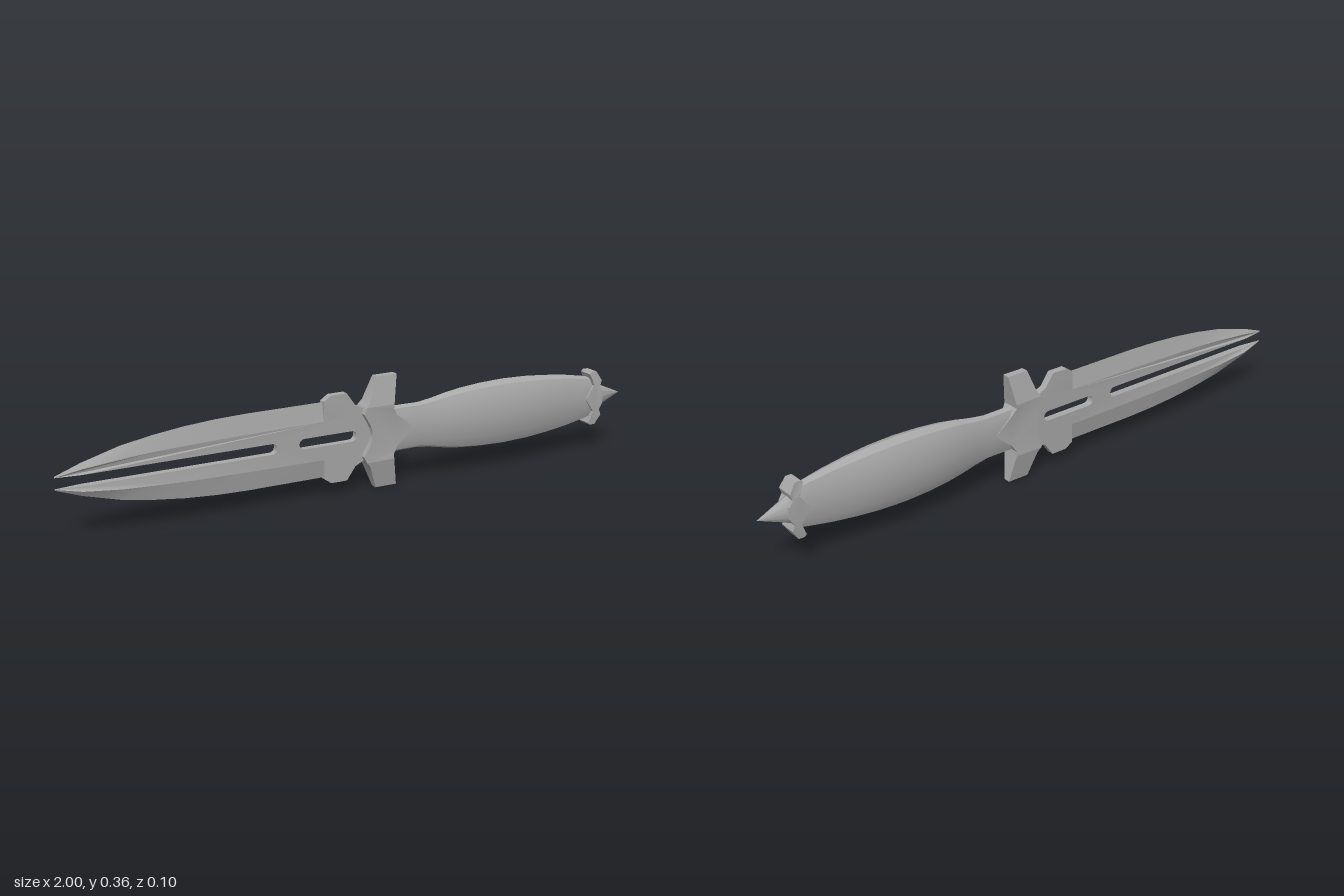
import * as THREE from 'three';
import { toCreasedNormals } from 'three/addons/utils/BufferGeometryUtils.js';

// Skin closed rings of [x, y, z] points (counter-clockwise seen from +x), capped at both ends
function loft(rings, crease = 0.5) {
  const n = rings[0].length, last = (rings.length - 1) * n, index = [];
  for (let i = 0; i < rings.length - 1; i++) {
    for (let j = 0; j < n; j++) {
      const a = i * n + j, b = i * n + (j + 1) % n;
      index.push(a, b, a + n, b, b + n, a + n);
    }
  }
  for (let j = 1; j < n - 1; j++) index.push(0, j + 1, j, last, last + j, last + j + 1);
  const geo = new THREE.BufferGeometry();
  geo.setAttribute('position', new THREE.Float32BufferAttribute(rings.flat(2), 3));
  geo.setIndex(index);
  return toCreasedNormals(geo, crease);
}

// Extrude an outline about z = 0; halfZ(x, y) gives the half thickness
function plate(points, halfZ, hole) {
  const shape = new THREE.Shape(points.map(p => new THREE.Vector2(...p)));
  if (hole) shape.holes.push(new THREE.Path(hole.map(p => new THREE.Vector2(...p))));
  const geo = new THREE.ExtrudeGeometry(shape, { depth: 1, bevelEnabled: false });
  const pos = geo.attributes.position;
  for (let i = 0; i < pos.count; i++) {
    const h = halfZ(pos.getX(i), pos.getY(i));
    pos.setZ(i, pos.getZ(i) > 0.5 ? h : -h);
  }
  return toCreasedNormals(geo, 0.5);
}

const mirrored = pts => pts.map(([x, y]) => [x, -y]).reverse();

// Half circle of points, used for slot ends
const arc = (cx, r, from, to) => Array.from({ length: 9 }, (_, i) => {
  const a = from + (to - from) * i / 8;
  return [cx + r * Math.cos(a), r * Math.sin(a)];
});

export function createModel() {
  const group = new THREE.Group();
  const steel = new THREE.MeshStandardMaterial({ color: 0xa8a8a8 });
  steel.name = 'grey steel';
  const add = (name, geo) => {
    const mesh = new THREE.Mesh(geo, steel);
    mesh.name = name;
    mesh.position.y = 0.182;
    group.add(mesh);
    return mesh;
  };

  // Blade stations: x, cutting edge height, ridge height
  const stations = [
    [-1, 0.021, 0.018], [-0.92, 0.05, 0.034], [-0.8, 0.083, 0.047], [-0.7, 0.1, 0.052],
    [-0.6, 0.112, 0.056], [-0.5, 0.119, 0.058], [-0.4, 0.122, 0.06], [-0.14, 0.122, 0.062],
  ];
  const bladeZ = x => 0.012 * Math.min(1, Math.max(0.1, (x + 1) / 0.08));

  // Flat blade core with a long open slot, a short closed slot and a notched shoulder
  const upper = [
    ...stations.map(([x, , r]) => [x, r]),
    [-0.14, 0.125], [-0.115, 0.142], [-0.06, 0.142], [-0.03, 0.1], [0, 0.085], [0.05, 0.085],
  ];
  const slotR = 0.017, H = Math.PI / 2;
  add('bladeCore', plate(
    [
      ...upper, ...mirrored(upper),
      [-1, -slotR], [-0.92, -slotR], ...arc(-0.317, slotR, -H, H), [-0.92, slotR], [-1, slotR],
    ],
    bladeZ,
    [...arc(-0.042, slotR, -H, H), ...arc(-0.208, slotR, H, 3 * H)],
  ));

  // Ground edges above and below the core
  for (const s of [1, -1]) {
    add(s > 0 ? 'upperBladeEdge' : 'lowerBladeEdge', loft(stations.map(([x, h, r]) => {
      const t = bladeZ(x);
      return [[x, s * h, 0], [x, s * r, s * t], [x, s * r, -s * t]];
    })));
  }

  // Guard hub, notched toward the blade and pointed toward the handle
  const hub = [[0.022, 0.012], [0.012, 0.035], [-0.008, 0.07], [0.002, 0.09], [0.1, 0.09], [0.098, 0.075], [0.115, 0.05], [0.17, 0.005]];
  add('guardHub', plate([...hub, ...mirrored(hub)], x => (x > 0.11 ? 0.024 : 0.031)));

  // Tapered guard arms
  const arm = [[0.002, 0.09], [0.1, 0.09], [0.117, 0.182], [0.043, 0.182], [0.015, 0.105]];
  const armZ = (x, y) => 0.012 + (0.182 - Math.abs(y)) * 0.2;
  add('upperGuardArm', plate(arm, armZ));
  add('lowerGuardArm', plate(mirrored(arm), armZ));

  // Swelling grip: x, half height, half width
  const grip = [
    [0.09, 0.076, 0.022], [0.2, 0.075, 0.023], [0.25, 0.082, 0.029], [0.3, 0.092, 0.036],
    [0.36, 0.101, 0.043], [0.43, 0.107, 0.048], [0.52, 0.11, 0.05], [0.61, 0.107, 0.048],
    [0.69, 0.1, 0.042], [0.77, 0.09, 0.033], [0.84, 0.077, 0.026], [0.89, 0.066, 0.022],
  ];
  const quarter = [[1, 0], [0.9, 0.56], [0.57, 0.9], [0, 1]];
  const section = [
    ...quarter,
    ...quarter.slice(0, 3).reverse().map(([y, z]) => [-y, z]),
    ...quarter.slice(1).map(([y, z]) => [-y, -z]),
    ...quarter.slice(1, 3).reverse().map(([y, z]) => [y, -z]),
  ];
  add('handle', loft(grip.map(([x, h, w]) => section.map(([y, z]) => [x, y * h, z * w])), 0.6));

  // Winged pommel collar with a lug toward the handle
  const collar = [[0.845, 0.004], [0.874, 0.045], [0.867, 0.065], [0.858, 0.085], [0.865, 0.092], [0.885, 0.092], [0.905, 0.06], [0.898, 0.04], [0.91, 0.02]];
  add('pommelCollar', plate([...collar, ...mirrored(collar)], (x, y) => (Math.abs(y) > 0.08 ? 0.025 : 0.03)));

  // Pommel spike
  const spike = new THREE.ConeGeometry(1, 0.105, 12).scale(0.046, 1, 0.025).rotateZ(-H).translate(0.9475, 0, 0);
  add('pommelSpike', spike);

  return group;
}
